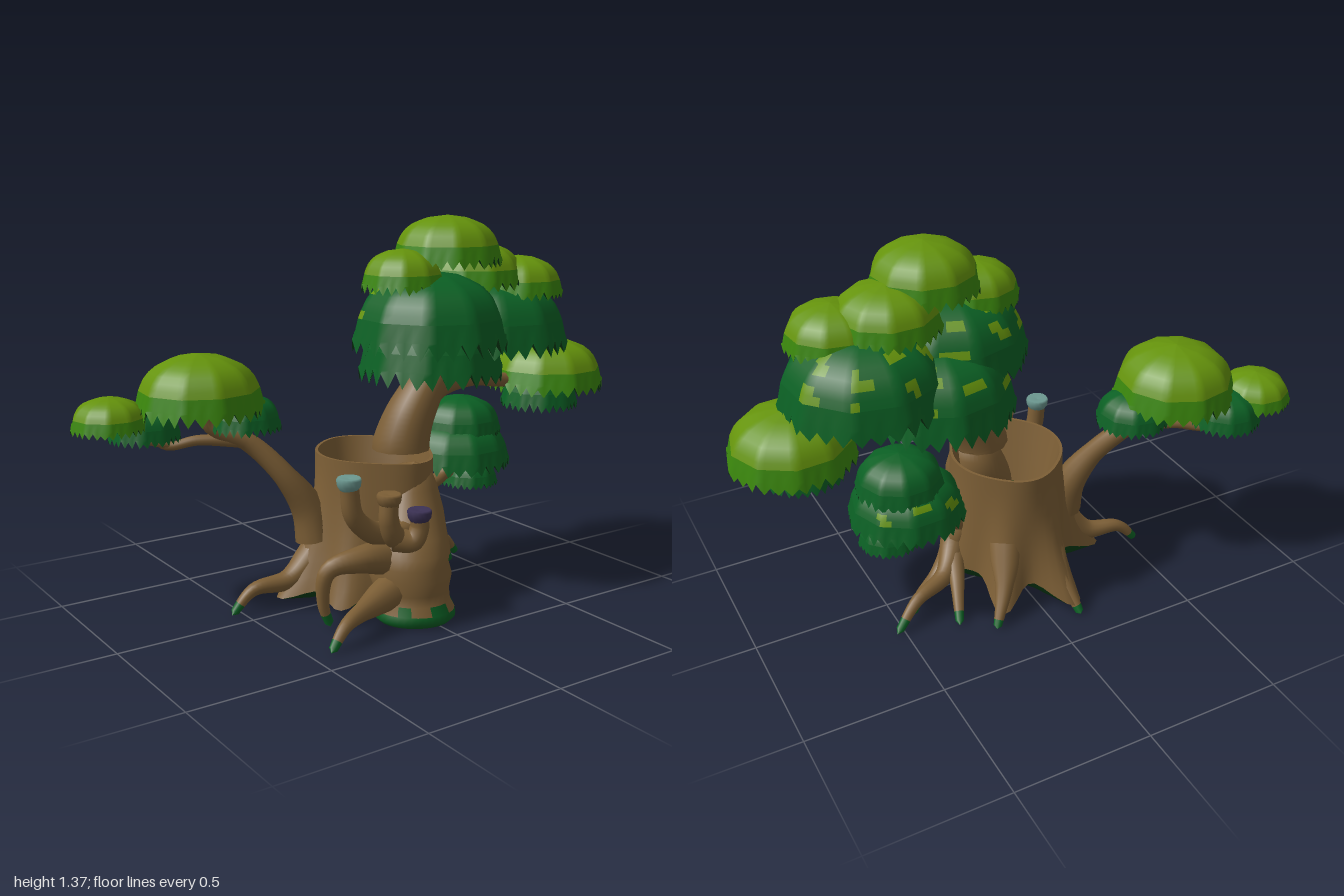
import * as THREE from 'three';

const mat = (name, color) => {
  const m = new THREE.MeshStandardMaterial({ color });
  m.name = name;
  return m;
};

// Surface through rows of closed rings; at(row, angle) gives a point.
// pick(row, column) chooses a material slot for each quad.
function loft(rowCount, seg, at, pick = () => 0) {
  const pos = [], slots = [[], []];
  for (let i = 0; i < rowCount; i++)
    for (let j = 0; j < seg; j++) pos.push(...at(i, (j / seg) * Math.PI * 2, j));
  for (let i = 0; i < rowCount - 1; i++)
    for (let j = 0; j < seg; j++) {
      const a = i * seg + j, b = i * seg + (j + 1) % seg, c = b + seg, d = a + seg;
      slots[pick(i, j)].push(a, b, c, a, c, d);
    }
  const g = new THREE.BufferGeometry();
  g.setAttribute('position', new THREE.Float32BufferAttribute(pos, 3));
  g.setIndex([...slots[0], ...slots[1]]);
  g.addGroup(0, slots[0].length, 0);
  g.addGroup(slots[0].length, slots[1].length, 1);
  g.computeVertexNormals();
  return g;
}

// Tube whose radius follows a list; the last share of it uses material slot 1.
function taper(points, radii, tipShare = 0, closeStart = true) {
  const curve = new THREE.CatmullRomCurve3(points.map(p => new THREE.Vector3(...p)));
  const n = 28, sides = 12, g = new THREE.TubeGeometry(curve, n, 1, sides);
  const p = g.attributes.position, v = new THREE.Vector3();
  for (let i = 0; i <= n; i++) {
    const c = curve.getPointAt(i / n), t = (i / n) * (radii.length - 1);
    const k = Math.min(Math.floor(t), radii.length - 2);
    let r = THREE.MathUtils.lerp(radii[k], radii[k + 1], t - k);
    if ((i === 0 && closeStart) || i === n) r *= 0.01;
    for (let j = 0; j <= sides; j++) {
      const q = i * (sides + 1) + j;
      v.fromBufferAttribute(p, q).sub(c).multiplyScalar(r).add(c);
      p.setXYZ(q, v.x, v.y, v.z);
    }
  }
  const split = Math.round(n * (1 - tipShare)) * sides * 6;
  g.addGroup(0, split, 0);
  g.addGroup(split, n * sides * 6 - split, 1);
  return g;
}

export function createModel() {
  const bark = mat('bark', 0x7d5f36), lime = mat('lime leaves', 0x65930c);
  const midGreen = mat('green leaf skirt', 0x3a860c), deep = mat('deep green leaves', 0x0b6024);
  const shade = mat('dark underside', 0x0a4218), moss = mat('hollow moss', 0x1c3411);
  const teal = mat('teal cap', 0x6c9890), purple = mat('purple cap', 0x3c3255);
  const model = new THREE.Group();
  const add = (name, geo, material, parent = model) => {
    const m = new THREE.Mesh(geo, material);
    m.name = name;
    parent.add(m);
    return m;
  };

  // Hollow trunk: rings with ribs [angle from +z towards +x, height, width] running into the roots
  const ribs = [[1.6, 0.09, 0.42], [2.62, 0.12, 0.25], [3.42, 0.17, 0.27], [4.55, 0.18, 0.33], [5.3, 0.1, 0.35]];
  const bump = (a, c, w) => {
    const d = Math.atan2(Math.sin(a - c), Math.cos(a - c));
    return Math.exp(-(d * d) / (w * w));
  };
  const trunkR = (a, y) => {
    const f = Math.pow(1 - y / 0.55, 2);
    let r = 0.205 + 0.02 * f + 0.06 * bump(a, 0.12, 0.5) + 0.03 * bump(a, 3.1, 0.5);
    for (const [c, h, w] of ribs) r += bump(a, c, w) * h * f;
    return r;
  };
  const ring = (a, y, k) => {
    const r = trunkR(a, y) * k;
    return [Math.sin(a) * r, y, Math.cos(a) * r];
  };
  // lower edge dips at the ribs and arches between them
  const edge = a => 0.14 - 0.095 * Math.min(1, ribs.slice(1).reduce((s, [c, , w]) => s + bump(a, c, w), 0));
  add('trunkWall', loft(10, 72, (i, a) => ring(a, THREE.MathUtils.lerp(edge(a), 0.55, i / 9), 1)), bark);
  add('trunkRim', loft(2, 72, (i, a) => ring(a, 0.55, i ? 0.95 : 1)), bark);
  add('hollowWall', loft(4, 72, (i, a) => {
    const [x, , z] = ring(a, 0.55, 0.95 - i * 0.08);
    return [x, 0.55 - i * 0.08, z];
  }), bark);
  add('hollowFloor', loft(2, 72, (i, a) => {
    const [x, , z] = ring(a, 0.55, i ? 0 : 0.72);
    return [x, 0.31, z];
  }), moss);
  // rounded belly under the trunk
  const belly = [[0, 0], [0.45, 0.1], [0.8, 0.45], [1, 1]];
  add('trunkUnderside', loft(4, 72, (i, a) => {
    const [x, , z] = ring(a, edge(a), belly[i][0]);
    return [x, THREE.MathUtils.lerp(0.03, edge(a), belly[i][1]), z];
  }), shade);

  // Swollen front trunk: [y, x, z, radius]
  const front = [[0.03, -0.02, 0.285, 0], [0.012, -0.02, 0.285, 0.125], [0.03, -0.02, 0.285, 0.143],
    [0.055, -0.02, 0.285, 0.14], [0.085, -0.02, 0.28, 0.128], [0.12, -0.02, 0.272, 0.13],
    [0.17, -0.02, 0.265, 0.145], [0.21, -0.02, 0.257, 0.138], [0.25, -0.015, 0.25, 0.145],
    [0.3, 0, 0.225, 0.135], [0.37, 0.02, 0.2, 0.12], [0.45, 0.035, 0.182, 0.095],
    [0.52, 0.04, 0.19, 0.06], [0.54, 0.04, 0.2, 0]];
  add('frontTrunk', loft(front.length, 36, (i, a) => {
    const [y, x, z, r] = front[i], w = r * (1 + 0.025 * Math.sin(3 * a + y * 9));
    return [x + Math.sin(a) * w, y, z + Math.cos(a) * w];
  }, (i, j) => (i === 1 || i === 2 || (i === 3 && j % 5 < 2) ? 1 : 0)), [bark, deep]);

  // Roots with mossy tips; the first four fork from one limb
  const limb = [[0.16, 0.36, 0], [0.22, 0.22, -0.01]];
  const roots = [
    [...limb, [0.225, 0.1, 0.06], [0.23, 0.01, 0.09]],
    [...limb, [0.27, 0.11, -0.13], [0.31, 0.01, -0.23]],
    [...limb, [0.3, 0.13, -0.08], [0.43, 0.1, -0.13], [0.53, 0.01, -0.17]],
    [...limb, [0.31, 0.11, -0.04], [0.4, 0.07, -0.08], [0.44, 0.01, -0.1]],
    [[0.09, 0.28, -0.17], [0.14, 0.13, -0.25], [0.2, 0.01, -0.31]],
    [[-0.05, 0.28, -0.18], [-0.08, 0.13, -0.29], [-0.11, 0.01, -0.38]],
    [[-0.18, 0.24, -0.03], [-0.32, 0.11, -0.05], [-0.46, 0.09, -0.07], [-0.54, 0.01, -0.08]],
    [[-0.08, 0.14, 0.28], [-0.22, 0.11, 0.32], [-0.36, 0.08, 0.37], [-0.43, 0.01, 0.39]],
    [[-0.06, 0.22, 0.25], [-0.22, 0.25, 0.26], [-0.33, 0.22, 0.22], [-0.34, 0.1, 0.2], [-0.31, 0.01, 0.2]],
  ];
  roots.forEach((pts, i) => add('root' + (i + 1), taper(pts, [0.065, 0.055, 0.034, 0.023, 0.014], 0.11), [bark, deep]));

  // Boughs and branches
  const boughs = [
    ['mainBough', [[0.07, 0.56, 0.08], [0.07, 0.575, 0.08], [0.1, 0.66, 0.08], [0.16, 0.75, 0.075], [0.25, 0.85, 0.06], [0.3, 0.97, 0.05]], [0.105, 0.09, 0.075, 0.07, 0.06]],
    ['sideBough', [[0.13, 0.71, 0.08], [0.23, 0.775, 0.075], [0.38, 0.785, 0.07], [0.55, 0.755, 0.06], [0.75, 0.73, 0.06]], [0.065, 0.05, 0.032, 0.026, 0.02]],
    ['lowBranch', [[0.17, 0.27, -0.02], [0.25, 0.35, -0.03], [0.35, 0.39, -0.04], [0.43, 0.47, -0.04]], [0.05, 0.03, 0.024, 0.018]],
    ['lowTwig', [[0.36, 0.39, -0.04], [0.43, 0.4, -0.05], [0.49, 0.4, -0.05]], [0.02, 0.014]],
    ['backBranch', [[-0.22, 0.22, -0.03], [-0.24, 0.35, -0.05], [-0.31, 0.47, -0.08], [-0.42, 0.6, -0.15], [-0.55, 0.67, -0.2], [-0.57, 0.79, -0.2]], [0.075, 0.06, 0.04, 0.035, 0.025, 0.02]],
    ['outerTwig', [[-0.44, 0.61, -0.16], [-0.58, 0.615, -0.23], [-0.68, 0.6, -0.28], [-0.74, 0.67, -0.32]], [0.027, 0.02, 0.016, 0.012]],
    ['farTwig', [[-0.66, 0.6, -0.27], [-0.78, 0.64, -0.3], [-0.87, 0.73, -0.3]], [0.015, 0.01]],
    ['innerTwig', [[-0.43, 0.6, -0.15], [-0.42, 0.65, -0.17], [-0.42, 0.72, -0.18]], [0.025, 0.016]],
  ];
  for (const [name, pts, radii] of boughs) add(name, taper(pts, radii, 0, name !== 'mainBough'), bark);
  const base = add('mainBoughBase', new THREE.CircleGeometry(0.105, 24), bark);
  base.rotation.x = Math.PI / 2;
  base.position.set(0.07, 0.56, 0.08);

  // Cup-topped spouts on the front trunk
  const spouts = [
    ['tallSpout', [[-0.06, 0.33, 0.25], [-0.18, 0.34, 0.27], [-0.26, 0.41, 0.27], [-0.28, 0.52, 0.27]], teal],
    ['middleSpout', [[-0.06, 0.32, 0.28], [-0.13, 0.33, 0.32], [-0.16, 0.39, 0.33], [-0.16, 0.46, 0.33]], bark],
    ['shortSpout', [[-0.13, 0.32, 0.31], [-0.07, 0.31, 0.34], [-0.045, 0.35, 0.345], [-0.045, 0.39, 0.345]], purple],
  ];
  const cupProfile = [[0, -0.02], [0.027, -0.02], [0.04, 0.0], [0.043, 0.02], [0.038, 0.028], [0, 0.022]]
    .map(p => new THREE.Vector2(...p));
  for (const [name, pts, cap] of spouts) {
    add(name, taper(pts, [0.045, 0.04, 0.034, 0.032]), bark);
    add(name + 'Cup', new THREE.LatheGeometry(cupProfile, 16), cap).position.set(...pts[pts.length - 1]);
  }

  // Leaf domes: ten-sided caps with a ragged skirt and a hollow dark underside
  const seg = 60, hash = n => Math.abs(Math.sin(n * 12.9898) * 43758.5453) % 1;
  const skirt = [[1.03, 0], [1, 0.22], [0.95, 0.43]];
  const cap = [[0.95, 0.43], [0.91, 0.53], [0.86, 0.63], [0.78, 0.73], [0.67, 0.82], [0.52, 0.89], [0.36, 0.95], [0, 1]];
  const under = [[0, 0.38], [0.6, 0.34], [0.92, 0.22], [1.03, 0]];
  function leafDome(name, x, z, r, y0, y1, light) {
    const group = new THREE.Group();
    group.name = name;
    const h = y1 - y0, turn = hash(x * 7 + z) * 0.6;
    const rows = prof => (i, a, j) => {
      const side = Math.PI / 5, poly = Math.cos(side / 2) / Math.cos((a % side) - side / 2);
      const k = prof[i][0] * r * poly;
      const tooth = prof[i][1] === 0 ? (j % 2 ? 0 : 0.12 + 0.1 * hash(j + x)) : 0;
      return [Math.sin(a + turn) * k, (prof[i][1] + tooth) * h, Math.cos(a + turn) * k];
    };
    // clustered lime flecks on the back of the larger deep domes
    const fleck = (i, j) => {
      const back = Math.cos((j / seg) * Math.PI * 2 + turn) < -0.3;
      const patch = Math.sin(j * 0.9 + x * 9) + Math.sin(i * 1.9 + j * 0.4) + hash(i * 61 + j * 3) > 1.5;
      return !light && r > 0.18 && back && i < 5 && patch ? 1 : 0;
    };
    add('leafSkirt', loft(skirt.length, seg, rows(skirt)), light ? midGreen : deep, group);
    add('leafCap', loft(cap.length, seg, rows(cap), fleck), light ? [lime, lime] : [deep, lime], group);
    add('leafUnderside', loft(under.length, seg, rows(under)), shade, group);
    group.position.set(x, y0, z);
    model.add(group);
  }
  const domes = [
    // x, z, radius, bottom, top, light
    [0.26, 0.09, 0.19, 1.2, 1.38, 1], [0.065, 0.09, 0.145, 1.12, 1.27, 1],
    [0.42, 0.04, 0.185, 1.11, 1.28, 1], [0.59, 0.095, 0.163, 1.07, 1.225, 1],
    [0.775, 0.06, 0.218, 0.7, 0.9, 1], [-0.58, -0.2, 0.218, 0.71, 0.925, 1],
    [-0.87, -0.3, 0.13, 0.67, 0.79, 1],
    [0.17, 0.11, 0.275, 0.91, 1.19, 0], [0.52, 0.02, 0.285, 0.87, 1.15, 0],
    [0.27, -0.01, 0.265, 0.78, 1.06, 0], [0.745, 0.06, 0.145, 0.63, 0.79, 0],
    [0.44, -0.05, 0.155, 0.54, 0.69, 0], [0.42, -0.05, 0.205, 0.42, 0.61, 0],
    [0.49, -0.05, 0.11, 0.335, 0.44, 0], [-0.74, -0.31, 0.125, 0.62, 0.75, 0],
    [-0.42, -0.18, 0.13, 0.64, 0.77, 0],
  ];
  domes.forEach((d, i) => leafDome((d[5] ? 'lightLeaves' : 'deepLeaves') + (i + 1), ...d));
  return model;
}
